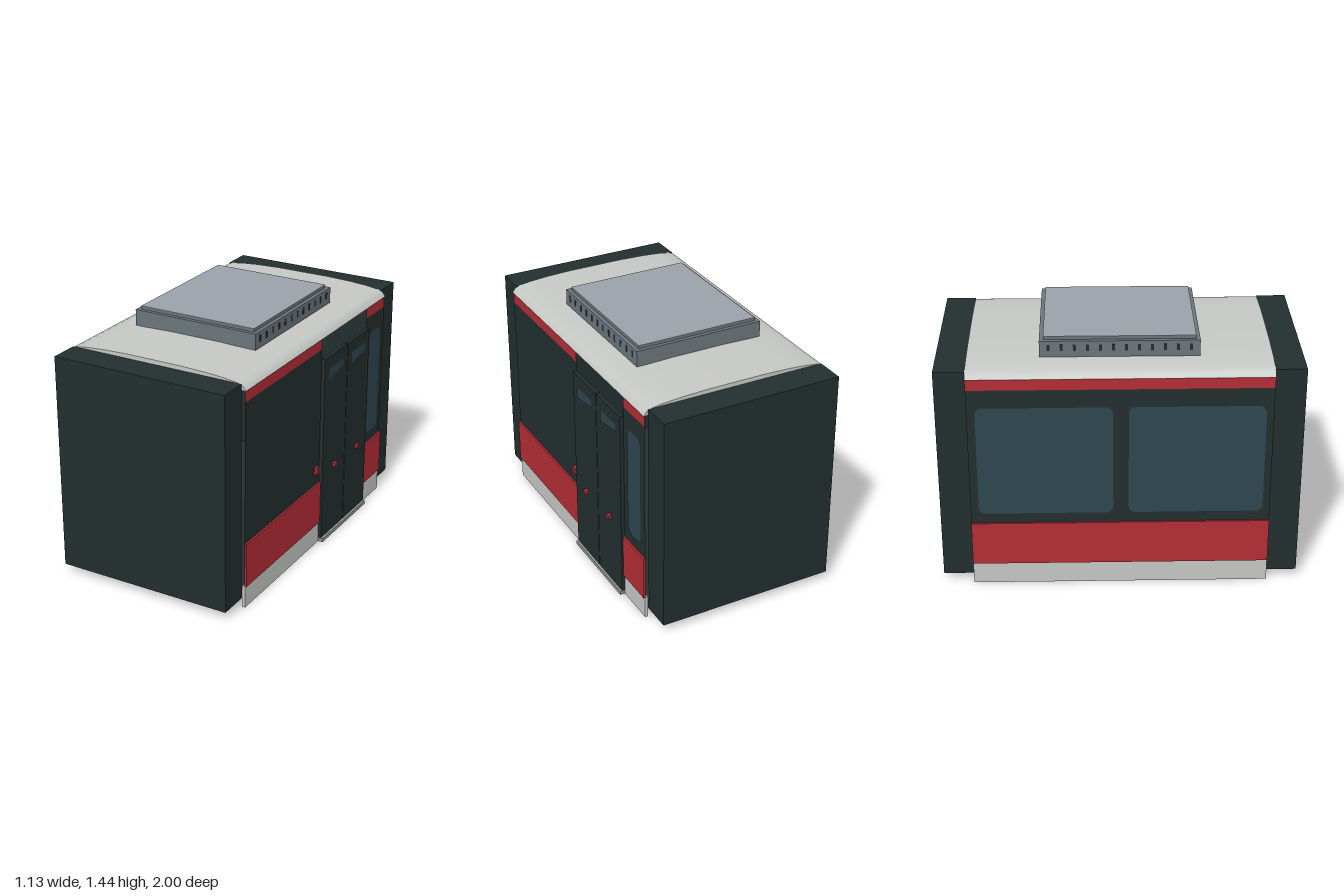
import * as THREE from 'three';
import { toCreasedNormals } from 'three/addons/utils/BufferGeometryUtils.js';

export function createModel() {
  const model = new THREE.Group();
  model.name = 'railCarSection';

  const mat = (name, hex, side = THREE.DoubleSide) => {
    const m = new THREE.MeshStandardMaterial({ color: hex, side });
    m.name = name;
    return m;
  };
  const dark = mat('darkGreenGrey', 0x232e2e);
  const red = mat('redPaint', 0xb42d36);
  const light = mat('lightGrey', 0xc6c8c5);
  const glass = mat('windowGlass', 0x2e464f);
  const casing = mat('ventCasing', 0x6b767b);
  const lidGrey = mat('ventLid', 0x9aa1a9);
  const stepGrey = mat('stepGrey', 0x8f9594);

  // The car body sits slightly to the right because of the door hardware
  const body = new THREE.Group();
  body.name = 'body';
  body.position.x = -0.0155;
  model.add(body);

  const add = (name, geo, material) => {
    const mesh = new THREE.Mesh(geo, material);
    mesh.name = name;
    body.add(mesh);
    return mesh;
  };
  // Box given by its limits on each axis
  const box = (name, material, x0, x1, y0, y1, z0, z1) => {
    const mesh = add(name, new THREE.BoxGeometry(Math.abs(x1 - x0), y1 - y0, z1 - z0), material);
    mesh.position.set((x0 + x1) / 2, (y0 + y1) / 2, (z0 + z1) / 2);
    return mesh;
  };
  // Flat sheet facing sideways; s is +1 for left, -1 for right
  const sheet = (name, material, s, x, y0, y1, z0, z1) => {
    const mesh = add(name, new THREE.PlaneGeometry(z1 - z0, y1 - y0), material);
    mesh.rotation.y = s * Math.PI / 2;
    mesh.position.set(s * x, (y0 + y1) / 2, (z0 + z1) / 2);
  };
  // Rounded window pane on a side wall
  const pane = (name, s, x, y0, y1, z0, z1, r = 0.04) => {
    const w = (z1 - z0) / 2, h = (y1 - y0) / 2;
    const p = new THREE.Shape();
    p.absarc(w - r, h - r, r, 0, Math.PI / 2);
    p.absarc(-w + r, h - r, r, Math.PI / 2, Math.PI);
    p.absarc(-w + r, -h + r, r, Math.PI, Math.PI * 1.5);
    p.absarc(w - r, -h + r, r, Math.PI * 1.5, Math.PI * 2);
    const mesh = add(name, new THREE.ShapeGeometry(p, 6), glass);
    mesh.rotation.y = s * Math.PI / 2;
    mesh.position.set(s * x, (y0 + y1) / 2, (z0 + z1) / 2);
  };

  // End blocks, floor and underframe
  box('frontEnd', dark, -0.5225, 0.5225, 0.05, 1.305, 0.83, 1);
  box('backEnd', dark, -0.5225, 0.5225, 0.05, 1.305, -1, -0.83);
  box('floor', dark, -0.5225, 0.5225, 0.05, 0.1, -0.83, 0.83);
  box('underframe', dark, -0.5, 0.5, 0.01, 0.05, -0.6, 0.6);

  // Side walls with skirt and stripes; the left wall leaves the doorway open
  const walls = [[1, -0.025, 0.83], [1, -0.83, -0.59], [-1, -0.83, 0.83]];
  for (const [s, z0, z1] of walls) {
    sheet('sideWall', dark, s, 0.542, 0.13, 1.205, z0, z1);
    sheet('upperBand', red, s, 0.542, 1.205, 1.275, z0, z1);
    box('lowerStripe', red, s * 0.543, s * 0.554, 0.13, 0.39, z0, z1);
    box('skirt', light, s * 0.527, s * 0.545, 0, 0.13, z0, z1);
  }

  // Side windows
  pane('leftWindow', 1, 0.545, 0.45, 1.1, -0.78, -0.635);
  pane('rightBackWindow', -1, 0.545, 0.45, 1.1, -0.785, -0.04);
  pane('rightFrontWindow', -1, 0.545, 0.45, 1.1, 0.045, 0.79);

  // Sliding door leaves with slanted panes and handles
  for (const z of [-0.025, -0.31]) {
    box('doorLeaf', dark, 0.541, 0.564, 0.028, 1.15, z - 0.28, z);
    const p = new THREE.Shape();
    p.moveTo(0.05, 1.01);
    p.lineTo(0.23, 1.04);
    p.lineTo(0.23, 1.08);
    p.lineTo(0.05, 1.08);
    const win = add('doorWindow', new THREE.ShapeGeometry(p), glass);
    win.rotation.y = Math.PI / 2;
    win.position.set(0.567, 0, z);
    box('doorHandle', red, 0.564, 0.581, 0.44, 0.462, z - 0.16, z - 0.13);
  }
  box('doorButton', red, 0.542, 0.558, 0.46, 0.505, 0.005, 0.035);
  box('doorStep', stepGrey, 0.53, 0.576, 0.003, 0.025, -0.59, -0.025);

  // Curved roof
  const half = [[0.548, 1.27], [0.53, 1.295], [0.5, 1.307], [0.43, 1.317], [0.32, 1.325], [0.16, 1.33]];
  const roof = new THREE.Shape();
  half.forEach(([x, y], i) => (i ? roof.lineTo(x, y) : roof.moveTo(x, y)));
  half.slice().reverse().forEach(([x, y]) => roof.lineTo(-x, y));
  const roofGeo = new THREE.ExtrudeGeometry(roof, { depth: 1.66, bevelEnabled: false });
  roofGeo.translate(0, 0, -0.83);
  add('roof', toCreasedNormals(roofGeo, 0.6), light);

  // Roof ventilation unit with slots along both sides
  box('ventUnit', casing, -0.38, 0.38, 1.325, 1.417, -0.435, 0.435);
  box('ventRim', casing, -0.357, 0.357, 1.417, 1.434, -0.413, 0.413);
  box('ventCover', lidGrey, -0.357, 0.357, 1.434, 1.436, -0.413, 0.413);
  for (const s of [-1, 1]) {
    for (let i = 0; i < 12; i++) {
      const z = -0.385 + i * 0.07;
      box('ventSlot', dark, s * 0.379, s * 0.382, 1.36, 1.397, z - 0.008, z + 0.008);
    }
  }
  return model;
}
